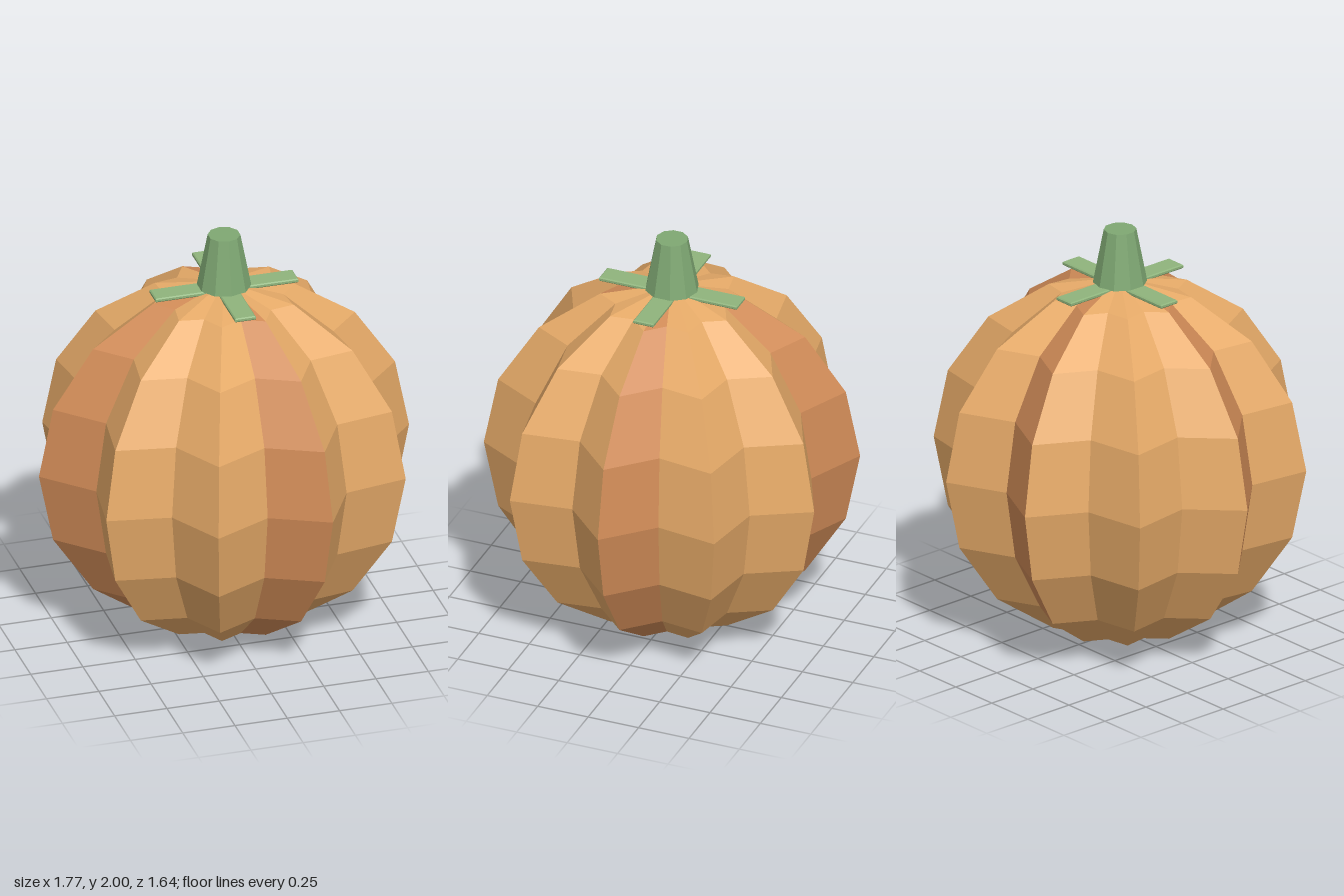
import * as THREE from 'three';

const mat = (color) => new THREE.MeshStandardMaterial({ color, flatShading: true });

// One wedge strip of the ribbed body, running pole to pole between two angles
function stripGeometry(index, rows, peak, valley, height, squash) {
  const step = Math.PI / 10;
  const point = (row, i) => {
    const phi = (row / rows) * Math.PI;
    const r = (i % 2 === 0 ? peak : valley) * Math.sin(phi);
    return [r * Math.cos(i * step), height * Math.cos(phi), r * Math.sin(i * step) * squash];
  };
  const pos = [];
  for (let row = 0; row < rows; row++) {
    const a = point(row, index), b = point(row, index + 1);
    const c = point(row + 1, index), d = point(row + 1, index + 1);
    if (row > 0) pos.push(...a, ...b, ...c);
    if (row < rows - 1) pos.push(...b, ...d, ...c);
  }
  const g = new THREE.BufferGeometry();
  g.setAttribute('position', new THREE.Float32BufferAttribute(pos, 3));
  g.computeVertexNormals();
  return g;
}

export function createModel() {
  const model = new THREE.Group();
  model.name = 'pumpkin';
  const tan = mat(0xe6aa68), rust = mat(0xd08b57);
  const stemGreen = mat(0x7fa873), leafGreen = mat(0x8fb47c);

  // Ribbed body: ten ridges, every fifth strip in a redder tone
  const body = new THREE.Group();
  body.name = 'body';
  body.position.y = 0.88;
  for (let i = 0; i < 20; i++) {
    const strip = new THREE.Mesh(stripGeometry(i, 8, 0.885, 0.71, 0.879, 0.973), i % 5 === 4 ? rust : tan);
    strip.name = 'bodyStrip';
    body.add(strip);
  }
  model.add(body);

  // Tapered stem
  const stem = new THREE.Mesh(new THREE.CylinderGeometry(0.075, 0.125, 0.26, 10), stemGreen);
  stem.name = 'stem';
  stem.position.y = 1.87;
  model.add(stem);

  // Four flat leaves with thin bevelled edges, in a cross around the stem
  const bevel = 0.005, inner = 0.04, outer = 0.342, half = 0.05;
  const outline = new THREE.Shape([
    new THREE.Vector2(inner, -half + bevel), new THREE.Vector2(outer - bevel, -half + bevel),
    new THREE.Vector2(outer - bevel, half - bevel), new THREE.Vector2(inner, half - bevel),
  ]);
  const leafGeometry = new THREE.ExtrudeGeometry(outline, {
    depth: 0.01, bevelEnabled: true, bevelSize: bevel, bevelThickness: bevel, bevelSegments: 1,
  });
  leafGeometry.rotateX(-Math.PI / 2);
  for (let i = 0; i < 4; i++) {
    const leaf = new THREE.Mesh(leafGeometry, leafGreen);
    leaf.name = 'leaf';
    leaf.position.y = 1.727;
    leaf.rotation.y = (i * Math.PI) / 2;
    model.add(leaf);
  }
  return model;
}
